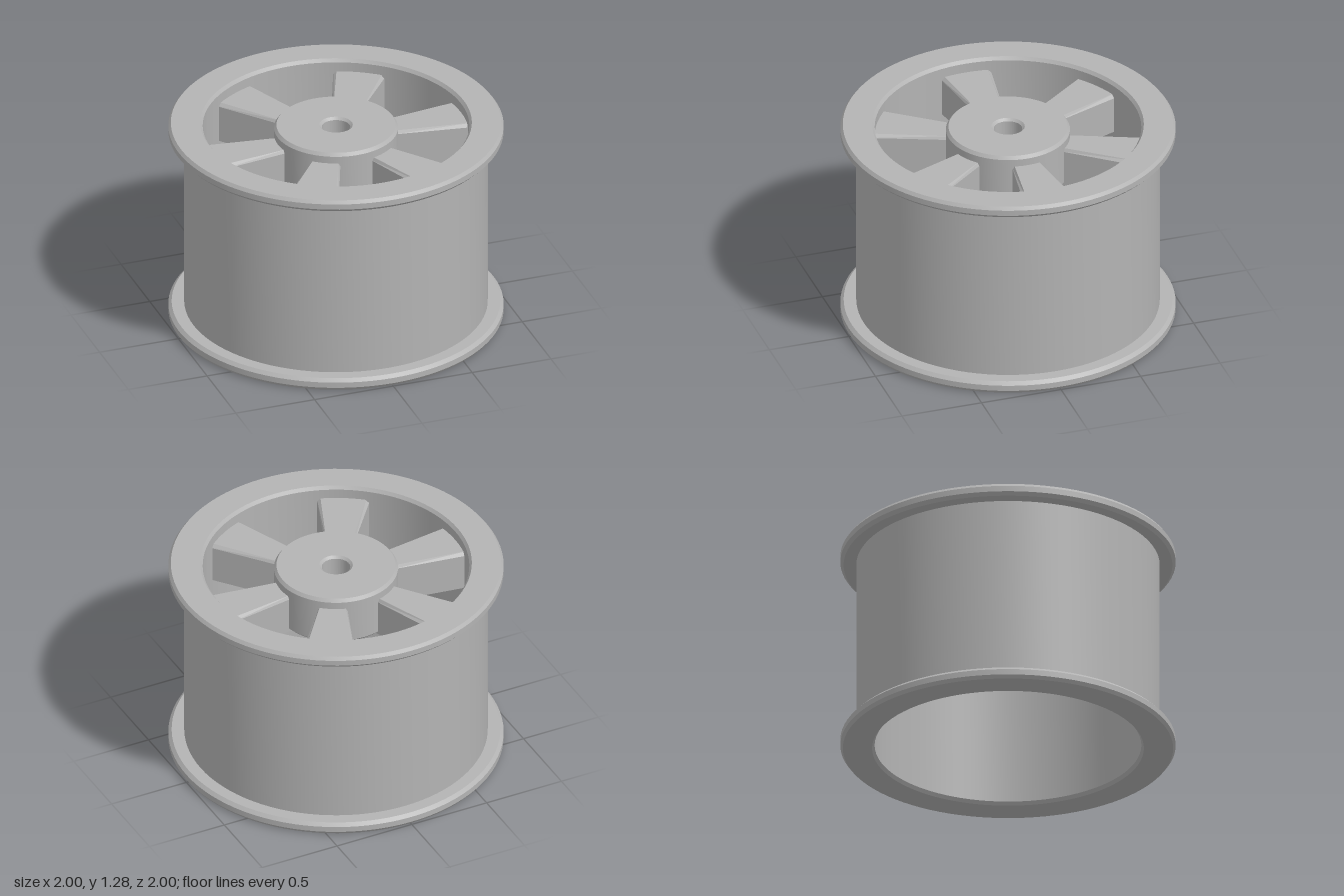
import * as THREE from 'three';
import { toCreasedNormals } from 'three/addons/utils/BufferGeometryUtils.js';

const HEIGHT = 1.28;
const SPOKES = 6;

// Closed ring turned from a counter-clockwise [radius, height] profile, with crisp chamfers
function turned(profile) {
  const points = [...profile, profile[0]].map(([r, y]) => new THREE.Vector2(r, y));
  return toCreasedNormals(new THREE.LatheGeometry(points, 96), 0.4);
}

// Spoke with chamfered top edges, widening from the hub towards the barrel
function spokeGeometry(inner, outer, bottom, top) {
  const c = 0.02;
  const shape = new THREE.Shape([
    [-1, bottom], [1, bottom], [1, top - c], [0.87, top], [-0.87, top], [-1, top - c],
  ].map(([x, y]) => new THREE.Vector2(x, y)));
  const geometry = new THREE.ExtrudeGeometry(shape, { depth: outer - inner, bevelEnabled: false });
  geometry.translate(0, 0, inner);
  const pos = geometry.attributes.position;
  for (let i = 0; i < pos.count; i++) {
    const halfWidth = 0.09 + 0.155 * (pos.getZ(i) - 0.36);
    pos.setX(i, pos.getX(i) * halfWidth);
  }
  geometry.computeVertexNormals();
  return geometry;
}

export function createModel() {
  const group = new THREE.Group();
  const grey = new THREE.MeshStandardMaterial({ color: 0xb3b3b3 });
  grey.name = 'plain grey';

  const add = (name, geometry) => {
    const mesh = new THREE.Mesh(geometry, grey);
    mesh.name = name;
    group.add(mesh);
    return mesh;
  };

  // Barrel with a flange at both ends: lower half of the outside, mirrored upwards
  const lowerHalf = [
    [0.795, 0.02], [0.81, 0], [0.985, 0], [1, 0.02],
    [1, 0.055], [0.98, 0.075], [0.905, 0.075],
  ];
  const upperHalf = lowerHalf.map(([r, y]) => [r, HEIGHT - y]).reverse();
  add('barrel', turned([...lowerHalf, ...upperHalf]));

  // Hub with an axle hole
  add('hub', turned([
    [0.085, 0.965], [0.1, 0.95], [0.35, 0.95], [0.37, 0.97],
    [0.37, 1.245], [0.355, 1.265], [0.1, 1.265], [0.085, 1.25],
  ]));

  // Spokes
  const spoke = spokeGeometry(0.33, 0.83, 0.95, 1.2);
  for (let i = 0; i < SPOKES; i++) {
    add('spoke' + (i + 1), spoke).rotation.y = Math.PI / 2 + (i * 2 * Math.PI) / SPOKES;
  }
  return group;
}
